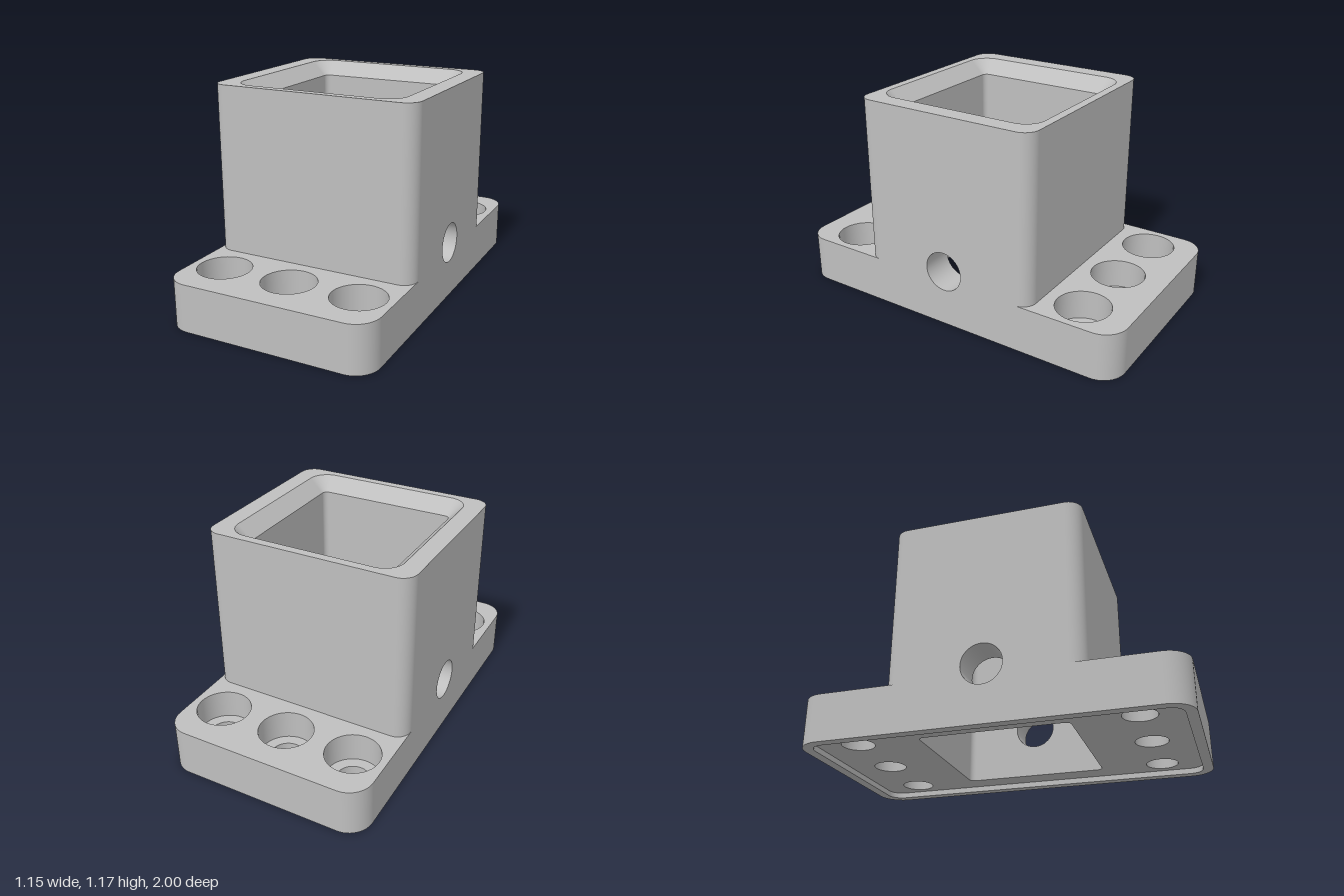
import * as THREE from 'three';

const grey = new THREE.MeshStandardMaterial({ color: 0xbfbfbf });
grey.name = 'plain grey';

// Main sizes
const W = 0.575, BASE_Z = 1, BASE_R = 0.13, BASE_TOP = 0.26;
const TOWER_Z = 0.52, TOWER_R = 0.08, TOP = 1.175;
const BORE = 0.395, BORE_R = 0.03, BEVEL = 0.078;
const FLOOR = 0.03, RIM = 0.055;
const BOLT_R = 0.087, SINK_R = 0.145, SHELF = 0.1;
const PIN_R = 0.11, PIN_Y = 0.315;
const boltX = [-0.39, 0, 0.39], BOLT_Z = 0.73;

// Rounded rectangle as points with outward normals; two corners give the front half
function ring(hx, hz, r, corners = 4, steps = 12) {
  const pts = [];
  for (let c = 0; c < corners; c++) {
    const sx = c === 0 || c === 3 ? 1 : -1, sz = c < 2 ? 1 : -1;
    for (let i = 0; i <= steps; i++) {
      const a = (c + i / steps) * Math.PI / 2, nx = Math.cos(a), nz = Math.sin(a);
      pts.push({ x: sx * (hx - r) + r * nx, z: sz * (hz - r) + r * nz, nx, nz });
    }
  }
  return pts;
}
const circle = (r, cx = 0, cz = 0) =>
  ring(r, r, r).map(p => ({ ...p, x: p.x + cx, z: p.z + cz }));

// Wall between two matching outlines; inward walls face the middle
function wall(lower, y0, upper, y1, { closed = true, inward = false, tilt = 0 } = {}) {
  const pos = [], nor = [], idx = [], n = lower.length, s = inward ? -1 : 1;
  const len = Math.hypot(1, tilt);
  for (let i = 0; i < n; i++) {
    const a = lower[i], b = upper[i];
    pos.push(a.x, y0, a.z, b.x, y1, b.z);
    for (let k = 0; k < 2; k++) nor.push(s * a.nx / len, tilt / len, s * a.nz / len);
  }
  for (let i = 0; i < (closed ? n : n - 1); i++) {
    const a = 2 * i, b = a + 1, c = 2 * ((i + 1) % n), d = c + 1;
    if (inward) idx.push(a, c, b, b, c, d);
    else idx.push(a, b, c, b, d, c);
  }
  const g = new THREE.BufferGeometry();
  g.setAttribute('position', new THREE.Float32BufferAttribute(pos, 3));
  g.setAttribute('normal', new THREE.Float32BufferAttribute(nor, 3));
  g.setIndex(idx);
  return g;
}

// Level face with holes, facing up or down
function cap(outline, holes, y, up = true) {
  const flat = pts => pts.map(p => new THREE.Vector2(p.x, up ? -p.z : p.z));
  const shape = new THREE.Shape(flat(outline));
  holes.forEach(h => shape.holes.push(new THREE.Path(flat(h))));
  return new THREE.ShapeGeometry(shape).rotateX(up ? -Math.PI / 2 : Math.PI / 2).translate(0, y, 0);
}

// Upright face across x with the pin hole cut out
function sideFace(points, x, outward) {
  const shape = new THREE.Shape(points.map(([z, y]) => new THREE.Vector2(z, y)));
  shape.holes.push(new THREE.Path(circle(PIN_R).map(p => new THREE.Vector2(p.x, p.z + PIN_Y))));
  return new THREE.ShapeGeometry(shape).rotateY(outward ? Math.PI / 2 : -Math.PI / 2).translate(x, 0, 0);
}

function add(parent, name, geometry) {
  const mesh = new THREE.Mesh(geometry, grey);
  mesh.name = name;
  parent.add(mesh);
}

// One half: the front end and the +x side
function makeHalf(name) {
  const half = new THREE.Group();
  half.name = name;
  const open = { closed: false };
  const base = ring(W, BASE_Z, BASE_R, 2), tower = ring(W, TOWER_Z, TOWER_R, 2);
  const bore = ring(BORE, BORE, BORE_R, 2);
  add(half, 'baseEnd', wall(base, 0, base, BASE_TOP, open));
  add(half, 'towerEnd', wall(tower, BASE_TOP, tower, TOP, open));
  add(half, 'boreEnd', wall(bore, FLOOR, bore, TOP - BEVEL, { closed: false, inward: true }));
  add(half, 'flangeTop', cap([...base, ...[...tower].reverse()],
    boltX.map(x => circle(SINK_R, x, BOLT_Z)), BASE_TOP));

  // Side faces and the pin hole between them
  const b = BASE_Z - BASE_R, t = TOWER_Z - TOWER_R, i = BORE - BORE_R;
  add(half, 'outerSide', sideFace([[-b, 0], [b, 0], [b, BASE_TOP], [t, BASE_TOP],
    [t, TOP], [-t, TOP], [-t, BASE_TOP], [-b, BASE_TOP]], W, true));
  add(half, 'boreSide', sideFace([[-i, FLOOR], [i, FLOOR], [i, TOP - BEVEL], [-i, TOP - BEVEL]], BORE, false));
  const pin = circle(PIN_R);
  add(half, 'pinHole', wall(pin, BORE, pin, W, { inward: true }).rotateZ(-Math.PI / 2).translate(0, PIN_Y, 0));

  // Counterbored bolt holes
  for (const x of boltX) {
    const hole = circle(BOLT_R, x, BOLT_Z), sink = circle(SINK_R, x, BOLT_Z);
    add(half, 'boltHole', wall(hole, FLOOR, hole, SHELF, { inward: true }));
    add(half, 'boltShelf', cap(sink, [hole], SHELF));
    add(half, 'counterbore', wall(sink, SHELF, sink, BASE_TOP, { inward: true }));
  }
  return half;
}

export function createModel() {
  const model = new THREE.Group();
  model.name = 'socketMount';
  const front = makeHalf('frontHalf'), back = makeHalf('backHalf');
  back.rotation.y = Math.PI;
  model.add(front, back);

  // Tower rim and bevelled mouth
  const bore = ring(BORE, BORE, BORE_R);
  const mouth = ring(BORE + BEVEL, BORE + BEVEL, BORE_R + BEVEL);
  add(model, 'towerRim', cap(ring(W, TOWER_Z, TOWER_R), [mouth], TOP));
  add(model, 'mouthBevel', wall(bore, TOP - BEVEL, mouth, TOP, { inward: true, tilt: 1 }));

  // Underside: raised rim around a shallow recess
  const recess = ring(W - RIM, BASE_Z - RIM, BASE_R - RIM);
  const bolts = [-1, 1].flatMap(s => boltX.map(x => circle(BOLT_R, x, s * BOLT_Z)));
  add(model, 'footRim', cap(ring(W, BASE_Z, BASE_R), [recess], 0, false));
  add(model, 'recessWall', wall(recess, 0, recess, FLOOR, { inward: true }));
  add(model, 'recessFloor', cap(recess, [bore, ...bolts], FLOOR, false));
  return model;
}
